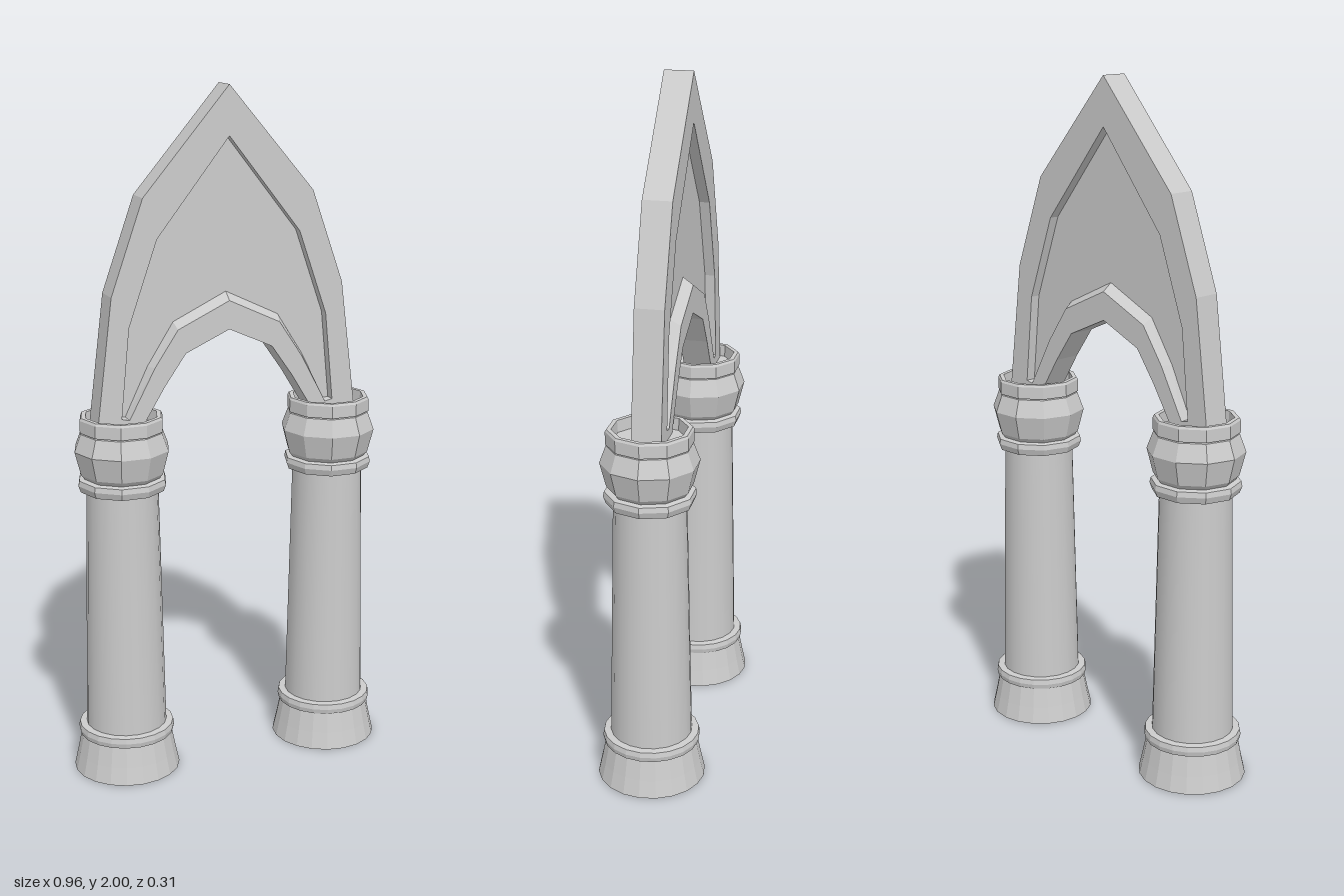
import * as THREE from 'three';

const grey = new THREE.MeshStandardMaterial({ color: 0xcccccc, flatShading: true, side: THREE.DoubleSide });
const smooth = new THREE.MeshStandardMaterial({ color: 0xcccccc });

function part(name, geometry, material = grey) {
  const mesh = new THREE.Mesh(geometry, material);
  mesh.name = name;
  return mesh;
}

// Lathe with a corner on the x axis
function turned(name, points, sides) {
  const profile = points.map(([r, y]) => new THREE.Vector2(r, y));
  return part(name, new THREE.LatheGeometry(profile, sides, Math.PI / 2));
}

function createColumn(name) {
  const column = new THREE.Group();
  column.name = name;
  // Flared foot, hollow underneath
  column.add(turned('base', [[0.116, 0.04], [0.138, 0], [0.157, 0], [0.146, 0.05], [0.134, 0.11]], 20));
  column.add(turned('baseRing', [[0.13, 0.11], [0.139, 0.111], [0.142, 0.125], [0.139, 0.14], [0.118, 0.142]], 20));
  // Tapered shaft
  const shaft = part('shaft', new THREE.CylinderGeometry(0.103, 0.121, 0.87, 20), smooth);
  shaft.position.y = 0.465;
  column.add(shaft);
  // Ten-sided neck ring and capital
  column.add(turned('neckRing', [[0.1, 0.865], [0.124, 0.867], [0.131, 0.886], [0.128, 0.901], [0.108, 0.905]], 10));
  column.add(turned('capital', [[0.108, 0.9], [0.122, 0.917], [0.14, 0.987], [0.121, 1.038], [0.11, 1.042]], 10));
  column.add(turned('capitalRim', [[0.11, 1.04], [0.123, 1.042], [0.123, 1.078], [0.119, 1.085],
    [0.106, 1.085], [0.104, 1.05], [0, 1.05]], 10));
  return column;
}

// Closed outline from its right half: upper chain rising to the apex, lower chain from apex to foot
function outline(upper, lower) {
  const mirror = (chain) => chain.slice(0, -1).reverse().map(([x, y]) => [-x, y]);
  const low = [...lower].reverse(); // foot to apex
  return [...upper, ...mirror(upper), ...low.map(([x, y]) => [-x, y]), ...lower.slice(1)];
}

function createArch() {
  const arch = new THREE.Group();
  arch.name = 'arch';
  const outer = outline(
    [[0.397, 1.05], [0.35, 1.43], [0.255, 1.7], [0, 2]],
    [[0, 1.315], [0.132, 1.255], [0.195, 1.165], [0.265, 1.05]]);
  const upperHole = [[0.325, 1.08], [0.3, 1.34], [0.215, 1.585], [0, 1.86]];
  const hole = outline(upperHole, [[0, 1.398], [0.155, 1.325], [0.225, 1.22], [0.302, 1.075]]);
  const floor = outline(upperHole, [[0, 1.42], [0.16, 1.343], [0.238, 1.22], [0.306, 1.078]]);

  // Frame: rings run from the front recess, round the outside, to the back recess
  const front = 0.042, recess = 0.012;
  const rings = [[floor, recess], [hole, front], [outer, front], [outer, -front], [hole, -front], [floor, -recess]];
  const positions = [];
  for (let i = 0; i < rings.length - 1; i++) {
    const [a, za] = rings[i], [b, zb] = rings[i + 1];
    for (let j = 0; j < a.length; j++) {
      const k = (j + 1) % a.length;
      positions.push(...a[j], za, ...b[j], zb, ...b[k], zb, ...a[j], za, ...b[k], zb, ...a[k], za);
    }
  }
  const frame = new THREE.BufferGeometry();
  frame.setAttribute('position', new THREE.Float32BufferAttribute(positions, 3));
  frame.computeVertexNormals();
  arch.add(part('archFrame', frame));

  // Recessed panel
  const shape = new THREE.Shape(floor.map(([x, y]) => new THREE.Vector2(x, y)));
  const panel = new THREE.ExtrudeGeometry(shape, { depth: 2 * recess, bevelEnabled: false });
  panel.translate(0, 0, -recess);
  arch.add(part('archPanel', panel));

  arch.position.set(-0.006, 0, -0.006);
  return arch;
}

export function createModel() {
  const model = new THREE.Group();
  model.name = 'archway';
  for (const side of [-1, 1]) {
    const column = createColumn(side < 0 ? 'rightColumn' : 'leftColumn');
    column.position.x = side * 0.322;
    model.add(column);
  }
  model.add(createArch());
  return model;
}
